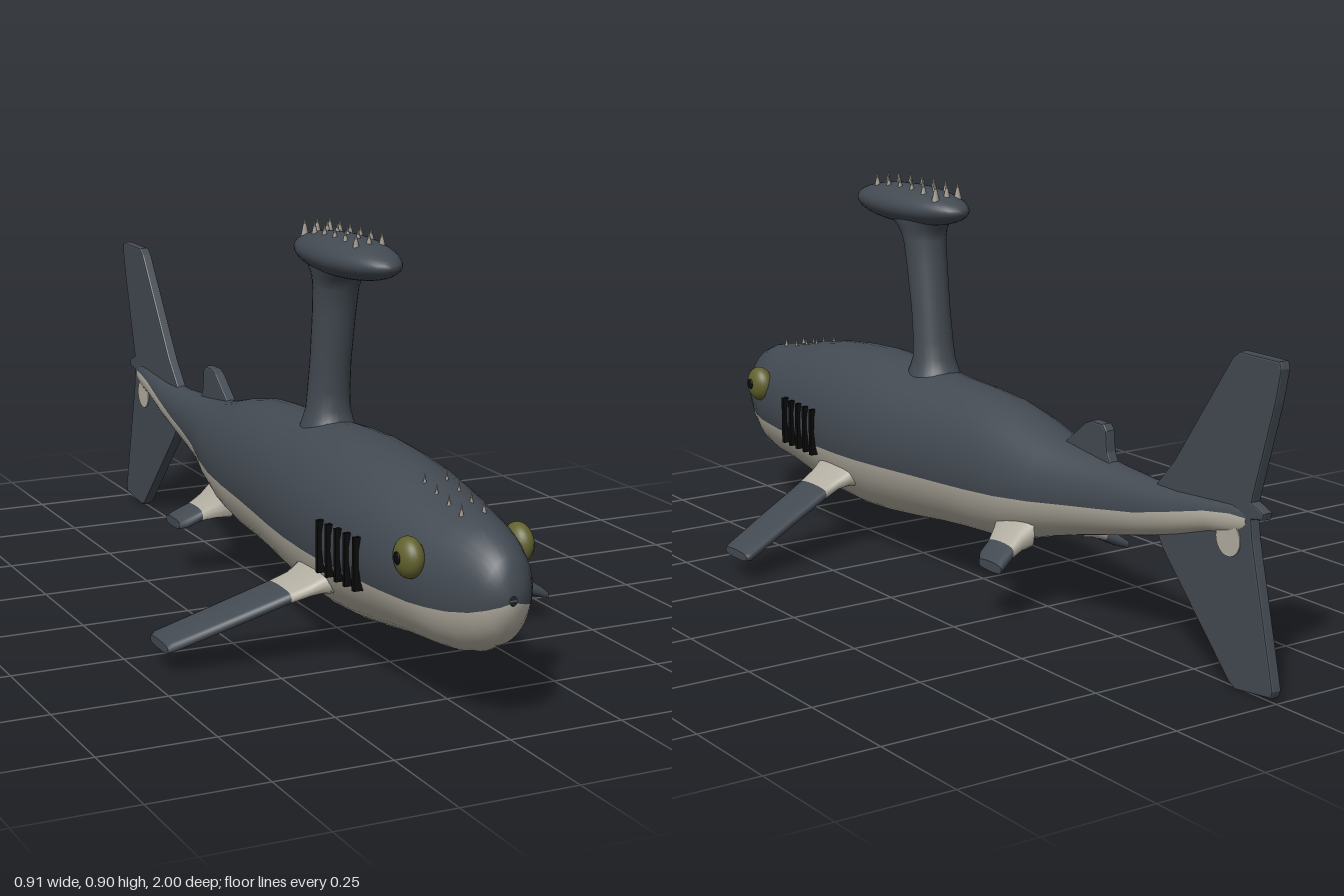
import * as THREE from 'three';

const mat = (name, color) => {
  const m = new THREE.MeshStandardMaterial({ color });
  m.name = name;
  return m;
};

// Smooth skin over equal-length rings of points; pick(j) chooses a material index round the ring
function loft(rings, { flip = false, cap = false, pick = null } = {}) {
  const n = rings[0].length;
  if (cap) {
    const last = rings[rings.length - 1];
    const mid = last.reduce((s, p) => s.add(p), new THREE.Vector3()).divideScalar(n);
    rings = [...rings, last, last.map(() => mid)];
  }
  const index = [[], []];
  for (let i = 0; i < rings.length - 1; i++) {
    for (let j = 0; j < n; j++) {
      const a = i * n + j, b = i * n + (j + 1) % n, c = a + n, d = b + n;
      index[pick ? pick(j) : 0].push(...(flip ? [a, b, c, b, d, c] : [a, c, b, b, c, d]));
    }
  }
  const g = new THREE.BufferGeometry().setFromPoints(rings.flat());
  g.setIndex([...index[0], ...index[1]]);
  if (pick) {
    g.addGroup(0, index[0].length, 0);
    g.addGroup(index[0].length, index[1].length, 1);
  }
  g.computeVertexNormals();
  return g;
}

// Upright fin from a (z, y) outline, centred on x = 0
function uprightFin(outline, thickness) {
  const bevel = 0.004;
  const shape = new THREE.Shape(outline.map(([z, y]) => new THREE.Vector2(z, y)));
  const depth = thickness - 2 * bevel;
  const g = new THREE.ExtrudeGeometry(shape, {
    depth, bevelThickness: bevel, bevelSize: bevel, bevelOffset: -bevel, bevelSegments: 2,
  });
  return g.translate(0, 0, -depth / 2).rotateY(-Math.PI / 2);
}

// Paired fin from stations [x, y, z, half chord, half thickness]
function sideFin(stations, side) {
  const rings = stations.map(([x, y, z, c, t]) => Array.from({ length: 20 }, (_, j) => {
    const a = j / 20 * Math.PI * 2, s = Math.sin(a);
    return new THREE.Vector3(side * x, y + t * Math.sign(s) * Math.sqrt(Math.abs(s)), z + c * Math.cos(a));
  }));
  return loft(rings, { flip: side < 0, cap: true });
}

export function createModel() {
  const model = new THREE.Group();
  const slate = mat('slate skin', 0x434a52);
  const pale = mat('pale belly', 0xb4afa2);
  const olive = mat('olive eye', 0x62622f);
  const black = mat('black', 0x0b0b0c);
  const bone = mat('spike grey', 0x9c968c);
  const add = (name, geometry, material, x = 0, y = 0, z = 0, parent = model) => {
    const m = new THREE.Mesh(geometry, material);
    m.name = name;
    m.position.set(x, y, z);
    parent.add(m);
    return m;
  };

  // Body stations: z, top, bottom, half width, colour line height
  const stations = [
    [1.0, 0.29, 0.27, 0.008, 0.275], [0.997, 0.33, 0.25, 0.03, 0.27], [0.98, 0.36, 0.212, 0.052, 0.262],
    [0.95, 0.385, 0.178, 0.072, 0.252], [0.9, 0.404, 0.151, 0.094, 0.243], [0.85, 0.413, 0.137, 0.113, 0.24],
    [0.8, 0.42, 0.131, 0.126, 0.238], [0.7, 0.442, 0.123, 0.141, 0.237], [0.6, 0.46, 0.108, 0.151, 0.238],
    [0.5, 0.47, 0.095, 0.158, 0.239], [0.4, 0.475, 0.09, 0.16, 0.24], [0.3, 0.472, 0.095, 0.158, 0.242],
    [0.2, 0.465, 0.105, 0.151, 0.245], [0.1, 0.458, 0.117, 0.141, 0.248], [0, 0.455, 0.125, 0.132, 0.251],
    [-0.1, 0.448, 0.131, 0.126, 0.256], [-0.2, 0.428, 0.148, 0.117, 0.262], [-0.3, 0.402, 0.178, 0.099, 0.27],
    [-0.4, 0.389, 0.204, 0.073, 0.28], [-0.5, 0.379, 0.227, 0.057, 0.292], [-0.6, 0.372, 0.25, 0.046, 0.306],
    [-0.7, 0.371, 0.276, 0.038, 0.329], [-0.8, 0.378, 0.306, 0.029, 0.353], [-0.87, 0.385, 0.318, 0.021, 0.362],
    [-0.91, 0.38, 0.33, 0.013, 0.36],
  ];
  const half = 20;
  const bodyRings = stations.map(([z, top, bottom, w, line]) => {
    const cy = (top + bottom) / 2, h = (top - bottom) / 2;
    const a0 = Math.asin(THREE.MathUtils.clamp((line - cy) / h, -0.95, 0.95));
    return Array.from({ length: half * 2 }, (_, j) => {
      const a = j < half
        ? a0 + (Math.PI - 2 * a0) * j / half
        : Math.PI - a0 + (Math.PI + 2 * a0) * (j - half) / half;
      return new THREE.Vector3(w * Math.cos(a), cy + h * Math.sin(a), z);
    });
  });
  add('body', loft(bodyRings, { cap: true, pick: (j) => (j < half ? 0 : 1) }), [slate, pale]);

  // Tail and rear back fin
  add('tailFin', uprightFin([
    [-0.63, 0.365], [-0.69, 0.43], [-0.86, 0.67], [-0.88, 0.685], [-0.995, 0.685], [-1, 0.67], [-0.985, 0.6],
    [-0.925, 0.395], [-0.962, 0.38], [-0.958, 0.366], [-0.925, 0.36], [-0.93, 0.32], [-1, 0.03], [-0.995, 0.016],
    [-0.89, 0.004], [-0.87, 0.015], [-0.66, 0.235], [-0.63, 0.28],
  ], 0.025), slate);
  const patch = add('tailPatch', new THREE.CylinderGeometry(0.036, 0.036, 0.03, 24), pale, 0, 0.308, -0.862);
  patch.rotation.z = Math.PI / 2;
  add('rearBackFin', uprightFin([
    [-0.29, 0.37], [-0.33, 0.4], [-0.395, 0.45], [-0.415, 0.458], [-0.455, 0.458], [-0.466, 0.445],
    [-0.47, 0.4], [-0.49, 0.36],
  ], 0.026), slate);

  // Pylon stations: y, centre z, half depth, half width
  const pylon = [
    [0.43, 0.2, 0.08, 0.066], [0.465, 0.2, 0.06, 0.055], [0.49, 0.2, 0.049, 0.049], [0.53, 0.203, 0.045, 0.047],
    [0.6, 0.212, 0.045, 0.045], [0.7, 0.227, 0.047, 0.047], [0.76, 0.236, 0.049, 0.05],
    [0.785, 0.243, 0.06, 0.054], [0.805, 0.25, 0.085, 0.06], [0.825, 0.26, 0.11, 0.062],
  ].map(([y, z, d, w]) => Array.from({ length: 28 }, (_, j) => {
    const a = j / 28 * Math.PI * 2;
    return new THREE.Vector3(w * Math.cos(a), y, z + d * Math.sin(a));
  }));
  add('pylon', loft(pylon), slate);
  add('dish', new THREE.SphereGeometry(1, 36, 24).scale(0.078, 0.045, 0.205), slate, 0, 0.836, 0.288);

  // Spikes on the dish and the forehead
  const dishSpikes = new THREE.Group();
  dishSpikes.name = 'dishSpikes';
  const headSpikes = new THREE.Group();
  headSpikes.name = 'headSpikes';
  model.add(dishSpikes, headSpikes);
  const spike = new THREE.ConeGeometry(0.01, 0.046, 8);
  for (let r = 0; r < 6; r++) {
    for (const x of [-0.03, 0, 0.03]) add('dishSpike', spike, bone, x, 0.879, 0.145 + r * 0.049, dishSpikes);
  }
  const smallSpike = new THREE.ConeGeometry(0.006, 0.032, 8);
  [[0.84, 0.42], [0.79, 0.425], [0.74, 0.435], [0.69, 0.445]].forEach(([z, y]) => {
    for (const x of [-0.025, 0.025]) add('headSpike', smallSpike, bone, x, y, z, headSpikes);
  });

  const eyeball = new THREE.SphereGeometry(1, 24, 18).scale(0.028, 0.042, 0.042);
  const pupil = new THREE.SphereGeometry(1, 16, 12).scale(0.004, 0.013, 0.013);
  for (const side of [1, -1]) {
    const name = side > 0 ? 'left' : 'right';
    // Eyes and gill slits
    add(name + 'Eye', eyeball, olive, side * 0.122, 0.33, 0.808);
    add(name + 'Pupil', pupil, black, side * 0.149, 0.332, 0.81);
    for (let k = 0; k < 5; k++) {
      add(name + 'GillSlit', new THREE.BoxGeometry(0.026, 0.112, 0.01), black,
        side * (0.153 - k * 0.0025), 0.273, 0.49 + k * 0.0365);
    }
    // Front and rear paired fins, pale at the root
    add(name + 'FrontFinRoot', sideFin([
      [0.1, 0.2, 0.42, 0.09, 0.045], [0.14, 0.186, 0.418, 0.075, 0.026],
      [0.17, 0.173, 0.415, 0.064, 0.017], [0.21, 0.157, 0.403, 0.061, 0.0145],
    ], side), pale);
    add(name + 'FrontFin', sideFin([
      [0.21, 0.157, 0.403, 0.061, 0.0145], [0.33, 0.108, 0.37, 0.058, 0.0145],
      [0.445, 0.061, 0.336, 0.055, 0.014], [0.455, 0.057, 0.338, 0.05, 0.01],
    ], side), slate);
    add(name + 'RearFinRoot', sideFin([
      [0.07, 0.19, -0.225, 0.07, 0.04], [0.1, 0.172, -0.238, 0.055, 0.024], [0.127, 0.157, -0.25, 0.048, 0.016],
    ], side), pale);
    add(name + 'RearFin', sideFin([
      [0.127, 0.157, -0.25, 0.048, 0.016], [0.16, 0.139, -0.264, 0.048, 0.015], [0.173, 0.132, -0.275, 0.042, 0.011],
    ], side), slate);
  }
  return model;
}
